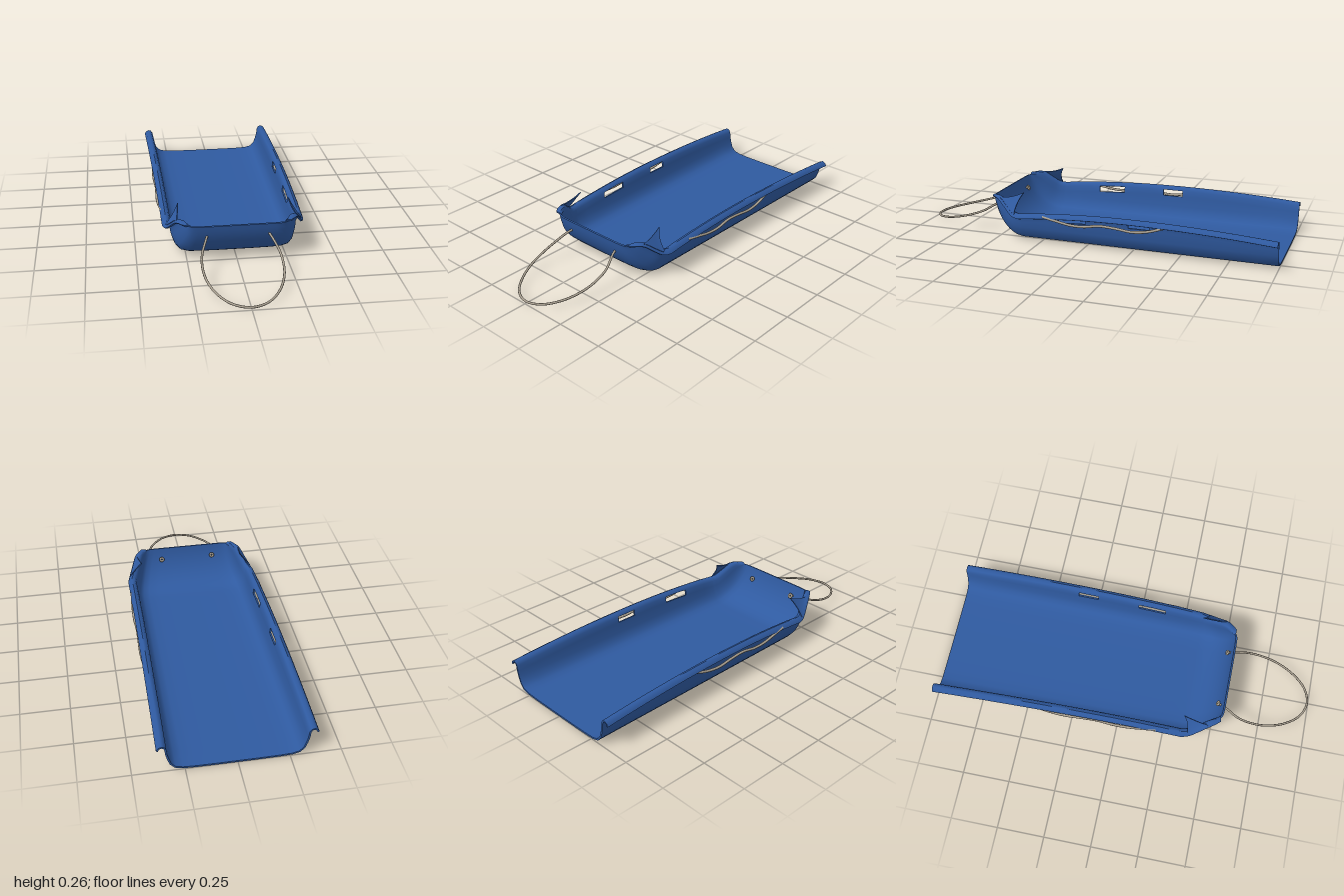
import * as THREE from 'three';
import { toCreasedNormals } from 'three/addons/utils/BufferGeometryUtils.js';

const V = (x, y, z) => new THREE.Vector3(x, y, z);

// Turn a grid of points (rows of equal length) into a closed sheet of given thickness
function sheet(rows, thickness, skip = () => false) {
  const n = rows[0].length, pts = rows.flat(), index = [];
  for (let i = 0; i < rows.length - 1; i++) {
    for (let j = 0; j < n - 1; j++) {
      if (skip(i, j)) continue;
      const a = i * n + j, b = a + 1, c = a + n, d = c + 1;
      index.push(a, b, c, b, d, c);
    }
  }
  const outer = new THREE.BufferGeometry().setFromPoints(pts);
  outer.setIndex(index);
  outer.computeVertexNormals();
  const normal = V(0, 0, 0);
  const inner = pts.map((p, i) => p.clone().addScaledVector(
    normal.fromBufferAttribute(outer.attributes.normal, i), -thickness));

  // Second skin, plus walls along every open edge
  const all = [...index], m = pts.length, edges = new Set();
  for (let i = 0; i < index.length; i += 3) {
    const t = index.slice(i, i + 3);
    all.push(t[0] + m, t[2] + m, t[1] + m);
    for (let k = 0; k < 3; k++) edges.add(t[k] + '_' + t[(k + 1) % 3]);
  }
  for (const e of edges) {
    const [a, b] = e.split('_').map(Number);
    if (!edges.has(b + '_' + a)) all.push(b, a, a + m, b, a + m, b + m);
  }
  const geo = new THREE.BufferGeometry().setFromPoints([...pts, ...inner]);
  geo.setIndex(all);
  return toCreasedNormals(geo, 0.8);
}

// Height of the side rim along the sled
function rimHeight(z) {
  const d = (z + 0.25) / (z > -0.25 ? 0.61 : 0.75);
  return 0.148 + 0.032 * (1 - d * d);
}

// Right half of the tray section: floor, rounded corner, wall, outward lip
function halfSection(h) {
  return [
    [0, 0], [0.1, 0], [0.2, 0.001], [0.26, 0.004], [0.298, 0.014], [0.322, 0.04], [0.334, 0.075],
    [0.341, h - 0.045], [0.344, h - 0.014], [0.35, h - 0.003], [0.359, h], [0.369, h - 0.005], [0.375, h - 0.018],
  ];
}

function mirrorRow(half) {
  return [...half.slice(1).reverse().map(p => V(-p.x, p.y, p.z)), ...half];
}

// Top edge of the side as it sweeps round into the curled front
const frontRim = new THREE.CatmullRomCurve3([
  V(0.354, 0.148, 0.35), V(0.343, 0.152, 0.387), V(0.322, 0.182, 0.43), V(0.296, 0.218, 0.482), V(0.262, 0.212, 0.538),
]);

const SLOTS = [[-0.35, -0.24], [-0.01, 0.14]];

function trayGeometry() {
  const rows = [];
  const stations = [-1, -0.9, -0.8, -0.7, -0.6, -0.5, -0.42, -0.35, -0.24, -0.16, -0.08, -0.01, 0.065, 0.14, 0.21, 0.28];
  for (const z of stations) {
    const taper = 1 - 0.056 * (z + 1) / 1.35;
    rows.push(mirrorRow(halfSection(rimHeight(z)).map(([x, y]) => V(x * taper, y, z))));
  }
  // Curled front: the floor follows an arc while the wall sinks into it
  const steps = 14, end = THREE.MathUtils.degToRad(80);
  for (let i = 0; i <= steps; i++) {
    const t = i / steps, a = t * end, h = 0.148;
    const zf = 0.35 + 0.203 * Math.sin(a) / Math.sin(end);
    const yf = 0.211 * (1 - Math.cos(a)) / (1 - Math.cos(end));
    const rim = frontRim.getPoint(t);
    rows.push(mirrorRow(halfSection(h).map(([x, y]) => {
      const f = y / h;
      return V(x * rim.x / 0.375, yf + (rim.y - yf) * f, zf + (rim.z - zf) * f);
    })));
  }
  const inSlot = (i, j) => (j === 19 || j === 4) && SLOTS.some(([a, b]) => {
    const z = (rows[i][0].z + rows[i + 1][0].z) / 2;
    return z > a && z < b;
  });
  return sheet(rows, 0.009, inSlot);
}

// Pointed guard that rises from the front corner and hooks backwards
function guardGeometry(side) {
  const top = new THREE.QuadraticBezierCurve3(V(0.294, 0.219, 0.475), V(0.285, 0.222, 0.41), V(0.278, 0.253, 0.35));
  const rows = [];
  for (let i = 0; i <= 8; i++) {
    const u = i / 8;
    const low = frontRim.getPoint(0.74 - 0.54 * u), high = top.getPoint(u);
    const mid = low.clone().lerp(high, 0.5).add(V(-0.008 * u, 0, 0.02 * u));
    const across = new THREE.QuadraticBezierCurve3(low, mid, high).getPoints(5);
    across.forEach(p => { p.x *= side; });
    rows.push(side > 0 ? across : across.reverse());
  }
  return sheet(rows, 0.005);
}

function rope(points, radius, segments) {
  return new THREE.TubeGeometry(new THREE.CatmullRomCurve3(points), segments, radius, 8);
}

export function createModel() {
  const plastic = new THREE.MeshStandardMaterial({ color: 0x2f5aa0 });
  plastic.name = 'blue plastic';
  const cord = new THREE.MeshStandardMaterial({ color: 0xa89f90 });
  cord.name = 'grey cord';

  const model = new THREE.Group();
  model.name = 'sled';
  const add = (name, geometry, material) => {
    const mesh = new THREE.Mesh(geometry, material);
    mesh.name = name;
    model.add(mesh);
    return mesh;
  };

  add('tray', trayGeometry(), plastic);

  // Pull rope looping out in front
  const half = [
    V(0.148, 0.157, 0.515), V(0.162, 0.145, 0.56), V(0.188, 0.105, 0.63), V(0.195, 0.078, 0.7),
    V(0.185, 0.052, 0.79), V(0.145, 0.029, 0.89), V(0.08, 0.016, 0.966),
  ];
  const loop = [...half, V(0, 0.012, 0.994), ...half.map(p => V(-p.x, p.y, p.z)).reverse()];
  add('pullRope', rope(loop, 0.006, 72), cord);

  for (const side of [1, -1]) {
    const label = side > 0 ? 'left' : 'right';
    add(label + 'CornerGuard', guardGeometry(side), plastic);

    // Knot holding the pull rope inside the front
    const knot = add(label + 'RopeKnot', new THREE.TorusGeometry(0.009, 0.006, 8, 14), cord);
    knot.position.set(side * 0.147, 0.157, 0.513);
    knot.rotation.x = 0.5;

    // Rope handle along the outside of the rim
    const handle = [
      [0.356, 0.156, 0.215], [0.362, 0.144, 0.14], [0.366, 0.131, 0.06], [0.367, 0.13, -0.01], [0.364, 0.142, -0.1],
      [0.366, 0.138, -0.19], [0.368, 0.13, -0.27], [0.367, 0.139, -0.35], [0.362, 0.166, -0.44],
    ].map(([x, y, z]) => V(x * side, y, z));
    add(label + 'HandleRope', rope(handle, 0.007, 48), cord);
  }
  return model;
}
